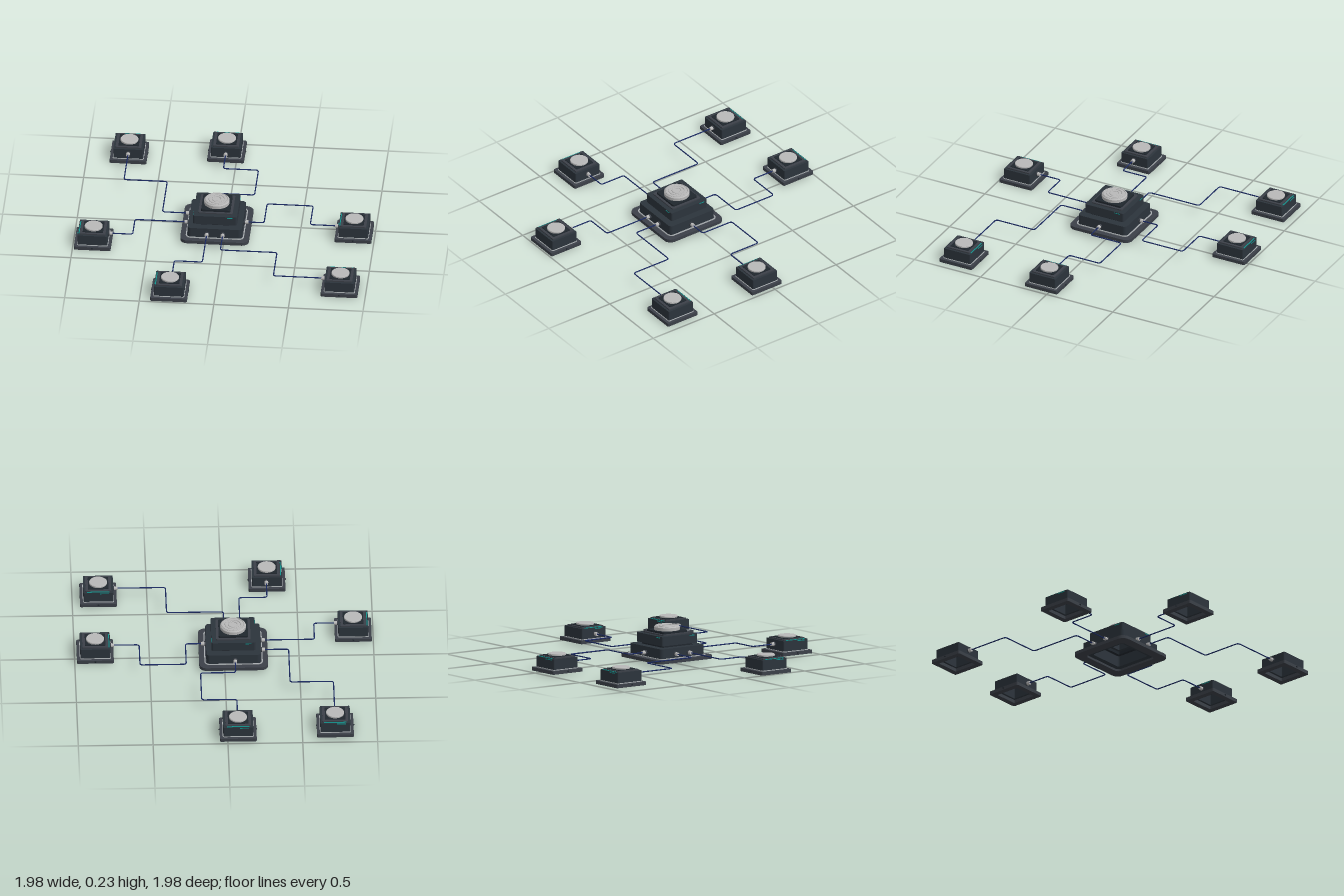
import * as THREE from 'three';

const mat = (color) => new THREE.MeshStandardMaterial({ color });
const M = {
  base: mat(0x3b4048), body: mat(0x2c343c), dark: mat(0x20272e), trim: mat(0xa8adb0),
  metal: mat(0xb8b8b8), teal: mat(0x12958f), cable: mat(0x1b2a63),
};

function add(parent, name, geo, material, x = 0, y = 0, z = 0) {
  const mesh = new THREE.Mesh(geo, material);
  mesh.name = name;
  mesh.position.set(x, y, z);
  parent.add(mesh);
  return mesh;
}

// Closed rounded square outline with half-width s
function roundedSquare(Type, s, r) {
  const p = new Type();
  p.moveTo(-s + r, -s);
  p.lineTo(s - r, -s).absarc(s - r, -s + r, r, -Math.PI / 2, 0);
  p.lineTo(s, s - r).absarc(s - r, s - r, r, 0, Math.PI / 2);
  p.lineTo(-s + r, s).absarc(-s + r, s - r, r, Math.PI / 2, Math.PI);
  p.lineTo(-s, -s + r).absarc(-s + r, -s + r, r, Math.PI, Math.PI * 1.5);
  return p;
}

// Horizontal square tier between two heights, with a square opening
function tier(parent, name, s, y0, y1, r, hole, material, holeR = r * 0.6) {
  const shape = roundedSquare(THREE.Shape, s, r);
  shape.holes.push(roundedSquare(THREE.Path, hole, holeR));
  const geo = new THREE.ExtrudeGeometry(shape, { depth: y1 - y0, bevelEnabled: false, curveSegments: 6 });
  geo.rotateX(-Math.PI / 2);
  return add(parent, name, geo, material, 0, y0, 0);
}

function disc(parent, name, r, y0, y1, material) {
  const e = (y1 - y0) * 0.2;
  const pts = [[0, y0], [r, y0], [r, y0], [r, y1 - e], [r, y1 - e], [r - e, y1], [r - e, y1], [0, y1]];
  add(parent, name, new THREE.LatheGeometry(pts.map(([a, b]) => new THREE.Vector2(a, b)), 32), material);
}

// Round socket and collar where a cable enters, pointing along (dx, dz)
function port(parent, x, y, z, dx, dz) {
  const g = new THREE.Group();
  g.name = 'cablePort';
  g.position.set(x, y, z);
  g.rotation.y = Math.atan2(dx, dz);
  add(g, 'portCollar', new THREE.CylinderGeometry(0.016, 0.016, 0.016, 16).rotateX(Math.PI / 2), M.base, 0, 0, -0.014);
  add(g, 'portPlug', new THREE.CylinderGeometry(0.012, 0.014, 0.03, 16).rotateX(Math.PI / 2), M.metal);
  parent.add(g);
}

// Small outer station; port and accent strip each face a given direction
function createNode({ x, z, lift = 0, dir, accent, plug }) {
  const g = new THREE.Group();
  g.name = 'node';
  g.position.set(x, lift, z);
  tier(g, 'nodeBase', 0.123, 0, 0.023, 0.01, 0.085, M.base);
  tier(g, 'nodeTrim', 0.104, 0.023, 0.028, 0.01, 0.099, M.trim);
  tier(g, 'nodeBody', 0.1, 0.023, 0.098, 0.007, 0.07, M.body);
  tier(g, 'nodeUpperRim', 0.086, 0.098, 0.106, 0.005, 0.06, M.base);
  tier(g, 'nodeCapSeat', 0.068, 0.094, 0.11, 0.005, 0.038, M.dark);
  disc(g, 'nodeCap', 0.06, 0.108, 0.122, M.metal);

  // accent strips on the body edge
  const strip = new THREE.Group();
  strip.name = 'accentStrip';
  strip.rotation.y = Math.atan2(accent[0], accent[1]);
  add(strip, 'topStrip', new THREE.BoxGeometry(0.15, 0.004, 0.006), M.teal, 0, 0.1, 0.092);
  add(strip, 'sideStrip', new THREE.BoxGeometry(0.06, 0.005, 0.004), M.teal, 0.04, 0.092, 0.1);
  g.add(strip);

  // side studs
  for (const s of [-1, 1])
    add(g, 'sideStud', new THREE.SphereGeometry(0.006, 10, 8), M.dark, s * dir[1] * 0.123, 0.014, s * dir[0] * 0.123);

  port(g, dir[0] ? dir[0] * 0.113 : plug - x, 0.067 - lift, dir[1] ? dir[1] * 0.113 : plug - z, ...dir);
  return g;
}

// Cable with rounded right-angle bends
function createCable(points, y = 0.067, r = 0.02) {
  const v = points.map(([x, z]) => new THREE.Vector3(x, y, z));
  const path = new THREE.CurvePath();
  let from = v[0];
  for (let i = 1; i < v.length - 1; i++) {
    const a = v[i].clone().add(v[i - 1].clone().sub(v[i]).setLength(r));
    const b = v[i].clone().add(v[i + 1].clone().sub(v[i]).setLength(r));
    path.add(new THREE.LineCurve3(from, a));
    path.add(new THREE.QuadraticBezierCurve3(a, v[i], b));
    from = b;
  }
  path.add(new THREE.LineCurve3(from, v[v.length - 1]));
  return new THREE.TubeGeometry(path, 160, 0.004, 8);
}

function createHub() {
  const g = new THREE.Group();
  g.name = 'hub';
  g.position.set(-0.06, 0, 0.05);
  tier(g, 'hubBase', 0.23, 0.015, 0.037, 0.05, 0.165, M.base);
  tier(g, 'hubTrim', 0.195, 0.037, 0.043, 0.035, 0.188, M.trim, 0.028);
  tier(g, 'hubLowerBody', 0.182, 0.03, 0.107, 0.025, 0.13, M.body);
  tier(g, 'hubNeck', 0.122, 0.1, 0.122, 0.015, 0.1, M.dark);
  tier(g, 'hubUpperBody', 0.147, 0.12, 0.182, 0.012, 0.08, M.body);
  tier(g, 'hubUpperRim', 0.115, 0.182, 0.19, 0.01, 0.075, M.base);
  tier(g, 'hubCapSeat', 0.098, 0.182, 0.203, 0.01, 0.055, M.dark);
  disc(g, 'hubCap', 0.086, 0.2, 0.23, M.metal);
  // raised rings on the cap
  for (const r of [0.03, 0.052, 0.074])
    add(g, 'capRing', new THREE.TorusGeometry(r, 0.004, 8, 40).rotateX(Math.PI / 2), M.metal, 0, 0.23, 0);
  // accent lights on each upper side
  for (let i = 0; i < 4; i++) {
    const side = new THREE.Group();
    side.name = 'hubAccent';
    side.rotation.y = i * Math.PI / 2;
    add(side, 'accentLight', new THREE.BoxGeometry(0.04, 0.005, 0.004), M.teal, 0.1, 0.174, 0.147);
    g.add(side);
  }
  return g;
}

export function createModel() {
  const model = new THREE.Group();
  model.name = 'hubNetwork';
  model.add(createHub());

  // Each node, with the bends of its cable from hub to node in (x, z)
  const nodes = [
    { x: -0.72, z: -0.82, dir: [0, 1], accent: [0, -1], out: [-1, 0],
      path: [[-0.25, -0.015], [-0.43, -0.015], [-0.43, -0.393], [-0.72, -0.393], [-0.72, -0.72]] },
    { x: -0.07, z: -0.87, lift: 0.012, dir: [0, 1], accent: [0, -1], out: [0, -1],
      path: [[-0.07, -0.14], [-0.07, -0.275], [0.165, -0.275], [0.165, -0.585], [-0.07, -0.585], [-0.07, -0.77]] },
    { x: 0.862, z: 0.053, lift: 0.01, dir: [-1, 0], accent: [-1, 0], out: [1, 0],
      path: [[0.13, 0.063], [0.258, 0.063], [0.258, -0.172], [0.567, -0.172], [0.567, 0.06], [0.76, 0.06]] },
    { x: 0.825, z: 0.718, dir: [-1, 0], accent: [0, -1], out: [0, 1],
      path: [[-0.005, 0.24], [-0.005, 0.425], [0.375, 0.425], [0.375, 0.715], [0.73, 0.715]] },
    { x: -0.305, z: 0.866, dir: [0, -1], accent: [-1, 0], out: [0, 1],
      path: [[-0.112, 0.24], [-0.112, 0.585], [-0.3, 0.585], [-0.3, 0.77]] },
    { x: -0.867, z: 0.275, dir: [1, 0], accent: [-1, 0], out: [-1, 0],
      path: [[-0.25, 0.095], [-0.605, 0.095], [-0.605, 0.279], [-0.77, 0.279]] },
  ];
  for (const n of nodes) {
    const end = n.path[n.path.length - 1];
    model.add(createNode({ ...n, plug: n.dir[0] ? end[1] : end[0] }));
    const [sx, sz] = n.path[0];
    port(model, sx + n.out[0] * 0.008, 0.067, sz + n.out[1] * 0.008, ...n.out);
    add(model, 'cable', createCable(n.path), M.cable);
  }
  return model;
}
